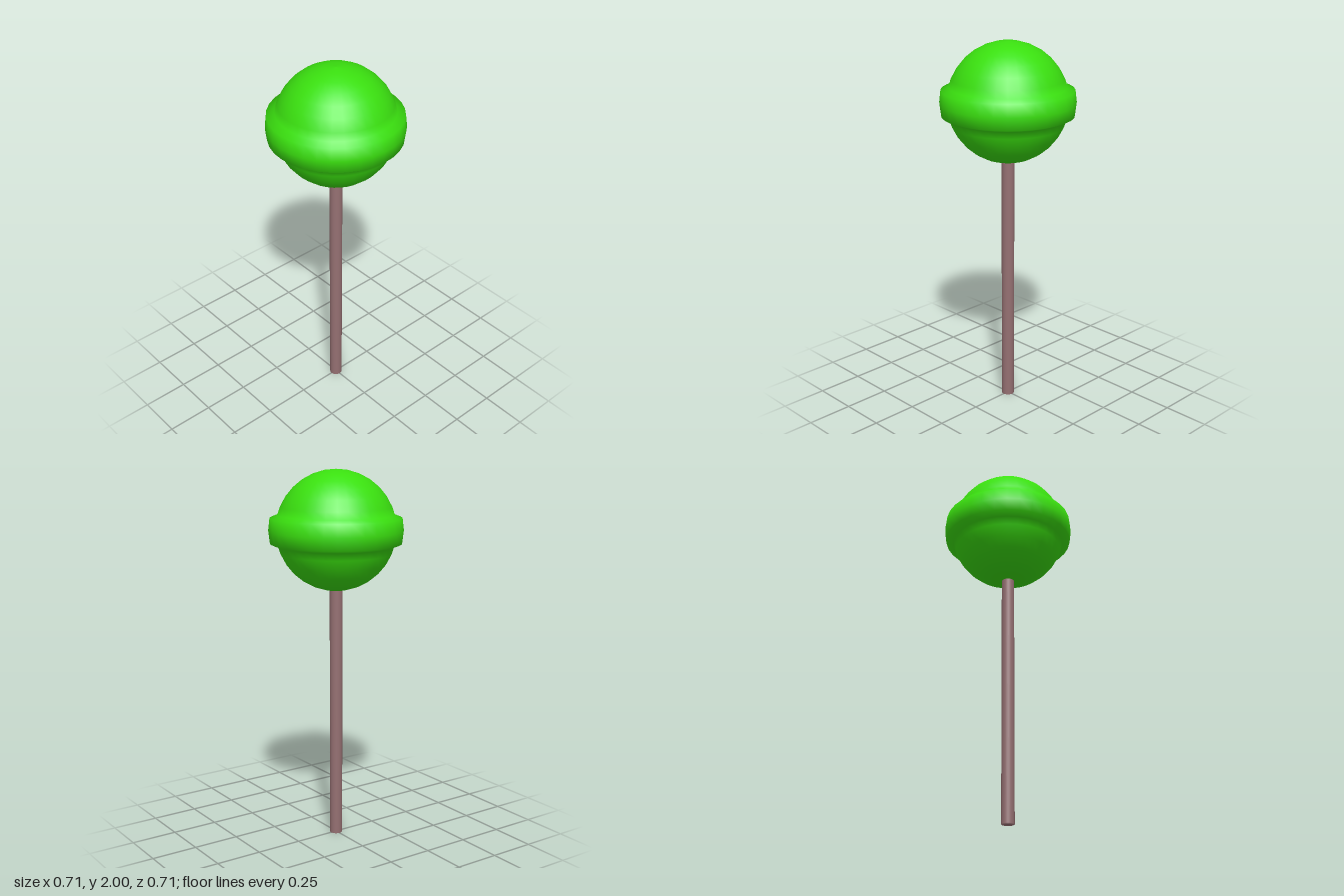
import * as THREE from 'three';
import { mergeVertices } from 'three/addons/utils/BufferGeometryUtils.js';

export function createModel() {
  const model = new THREE.Group();
  const R = 0.317, centerY = 1.683, sides = 32;

  // Candy ball with a raised band: one half profile, mirrored about the equator
  const upper = [[0.355, 0], [0.347, 0.066], [0.306, 0.082]];
  for (let i = 2; i <= 8; i++) {
    const a = (i / 8) * Math.PI / 2;
    upper.push([i === 8 ? 0 : R * Math.cos(a), R * Math.sin(a)]);
  }
  const lower = upper.slice(1).reverse().map(([r, y]) => [r, -y]);
  const profile = [...lower, ...upper].map(([r, y]) => new THREE.Vector2(r, y));
  const candy = new THREE.Mesh(
    new THREE.LatheGeometry(profile, sides),
    new THREE.MeshStandardMaterial({ color: 0x3ae00f })
  );
  candy.name = 'candy';
  candy.position.y = centerY;
  model.add(candy);

  // Stick, with caps and side sharing smooth normals
  const stickTop = 1.4;
  let stickGeometry = new THREE.CylinderGeometry(0.034, 0.034, stickTop, sides);
  stickGeometry.deleteAttribute('uv');
  stickGeometry.deleteAttribute('normal');
  stickGeometry = mergeVertices(stickGeometry);
  stickGeometry.computeVertexNormals();
  const stick = new THREE.Mesh(
    stickGeometry,
    new THREE.MeshStandardMaterial({ color: 0x957072 })
  );
  stick.name = 'stick';
  stick.position.y = stickTop / 2;
  model.add(stick);

  return model;
}
